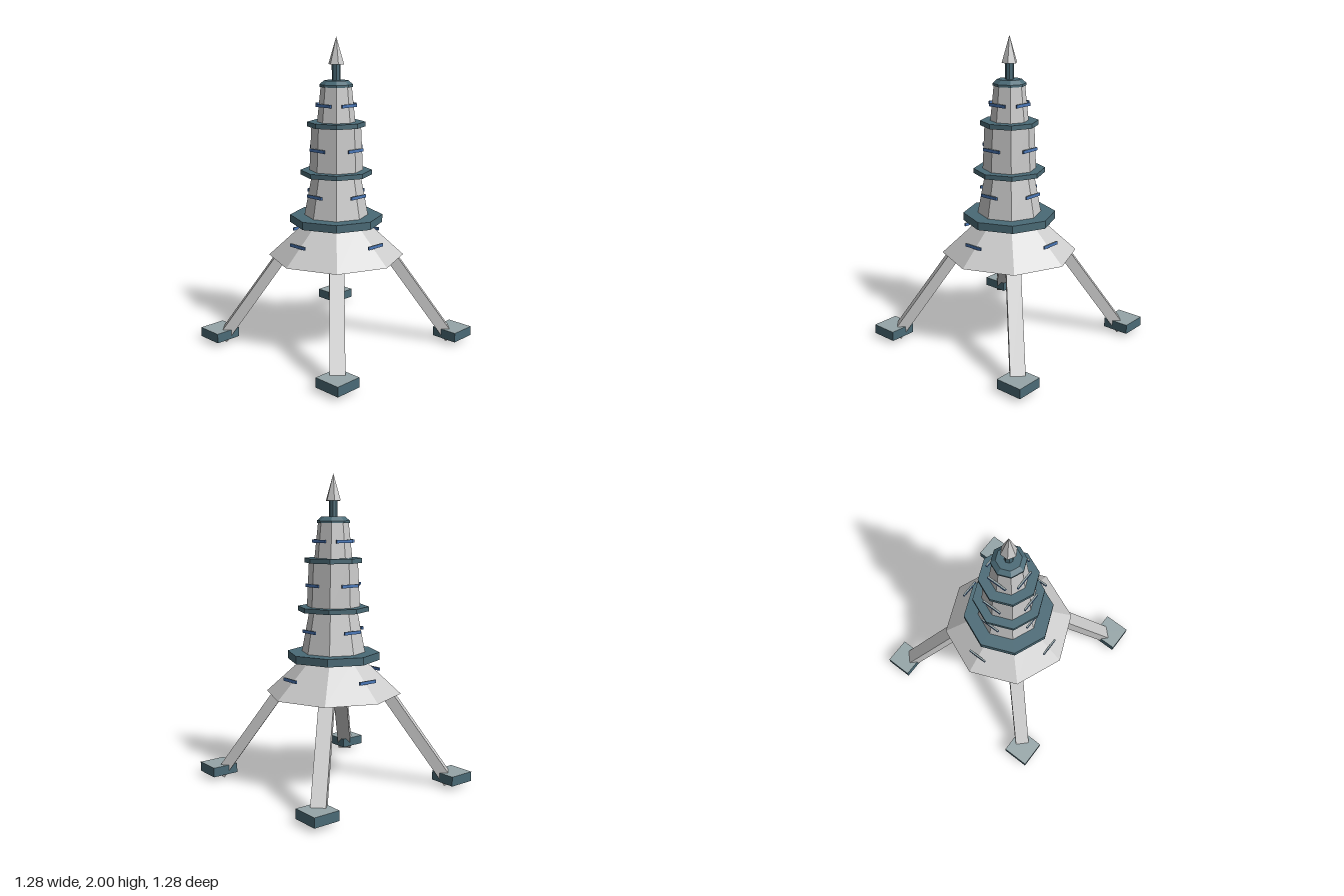
import * as THREE from 'three';

const mat = (color) => new THREE.MeshStandardMaterial({ color, flatShading: true });

export function createModel() {
  const model = new THREE.Group();
  model.name = 'tower';
  const grey = mat(0xcccccc), teal = mat(0x4a6a76), blue = mat(0x4a78b8), pale = mat(0x95a5a8);
  // box faces: +x, -x, +y, -y, +z, -z
  const paleTop = (m) => [m, m, pale, m, m, m];

  function add(name, geometry, material, parent = model) {
    const mesh = new THREE.Mesh(geometry, material);
    mesh.name = name;
    parent.add(mesh);
    return mesh;
  }

  // Faceted frustum standing between two heights
  function frustum(name, y0, y1, r0, r1, material, sides = 8) {
    const mesh = add(name, new THREE.CylinderGeometry(r1, r0, y1 - y0, sides), material);
    mesh.position.y = (y0 + y1) / 2;
    return mesh;
  }

  // Tower body, from the flared skirt upwards
  frustum('skirt', 0.595, 0.82, 0.44, 0.195, grey);
  frustum('lowerSection', 0.86, 1.135, 0.207, 0.155, grey);
  frustum('middleSection', 1.155, 1.445, 0.172, 0.158, grey);
  frustum('upperSection', 1.465, 1.695, 0.122, 0.098, grey);

  // Projecting rings and bevelled cap
  frustum('lowerRing', 0.815, 0.865, 0.3, 0.3, teal);
  frustum('middleRing', 1.13, 1.16, 0.23, 0.23, teal);
  frustum('upperRing', 1.44, 1.47, 0.185, 0.185, teal);
  frustum('cap', 1.69, 1.705, 0.106, 0.106, teal);
  frustum('capBevel', 1.705, 1.73, 0.106, 0.077, teal);

  // Mast and pointed tip
  frustum('mast', 1.73, 1.835, 0.028, 0.028, teal, 8);
  const tip = add('tip', new THREE.ConeGeometry(0.051, 0.17, 6), grey);
  tip.position.y = 1.915;
  tip.rotation.y = Math.PI / 2;

  // Window bars: four around each level, as [height, distance from axis]
  const barGeometry = new THREE.BoxGeometry(0.13, 0.02, 0.011);
  for (const [y, r] of [[0.715, 0.343], [1.008, 0.195], [1.3, 0.17], [1.577, 0.114]]) {
    for (let i = 0; i < 4; i++) {
      const a = i * Math.PI / 2;
      const bar = add('windowBar', barGeometry, paleTop(blue));
      bar.position.set(Math.sin(a) * r, y, Math.cos(a) * r);
      bar.rotation.y = a;
    }
  }

  // Splayed legs on the diagonals, each running through a square foot
  const top = new THREE.Vector2(0.3585, 0.587), bottom = new THREE.Vector2(0.759, 0.02);
  const length = top.distanceTo(bottom);
  const tilt = Math.atan2(bottom.x - top.x, top.y - bottom.y);
  for (let i = 0; i < 4; i++) {
    const a = Math.PI / 4 + i * Math.PI / 2;
    const pivot = new THREE.Group();
    pivot.name = 'legPivot';
    pivot.rotation.y = a;
    model.add(pivot);
    const leg = add('leg', new THREE.BoxGeometry(0.092, length, 0.07), grey, pivot);
    leg.position.set(0, (top.y + bottom.y) / 2, (top.x + bottom.x) / 2);
    leg.rotation.x = -tilt;

    const foot = add('foot', new THREE.BoxGeometry(0.178, 0.062, 0.178), paleTop(teal));
    foot.position.set(Math.sign(Math.sin(a)) * 0.55, 0.057, Math.sign(Math.cos(a)) * 0.55);
  }
  return model;
}
